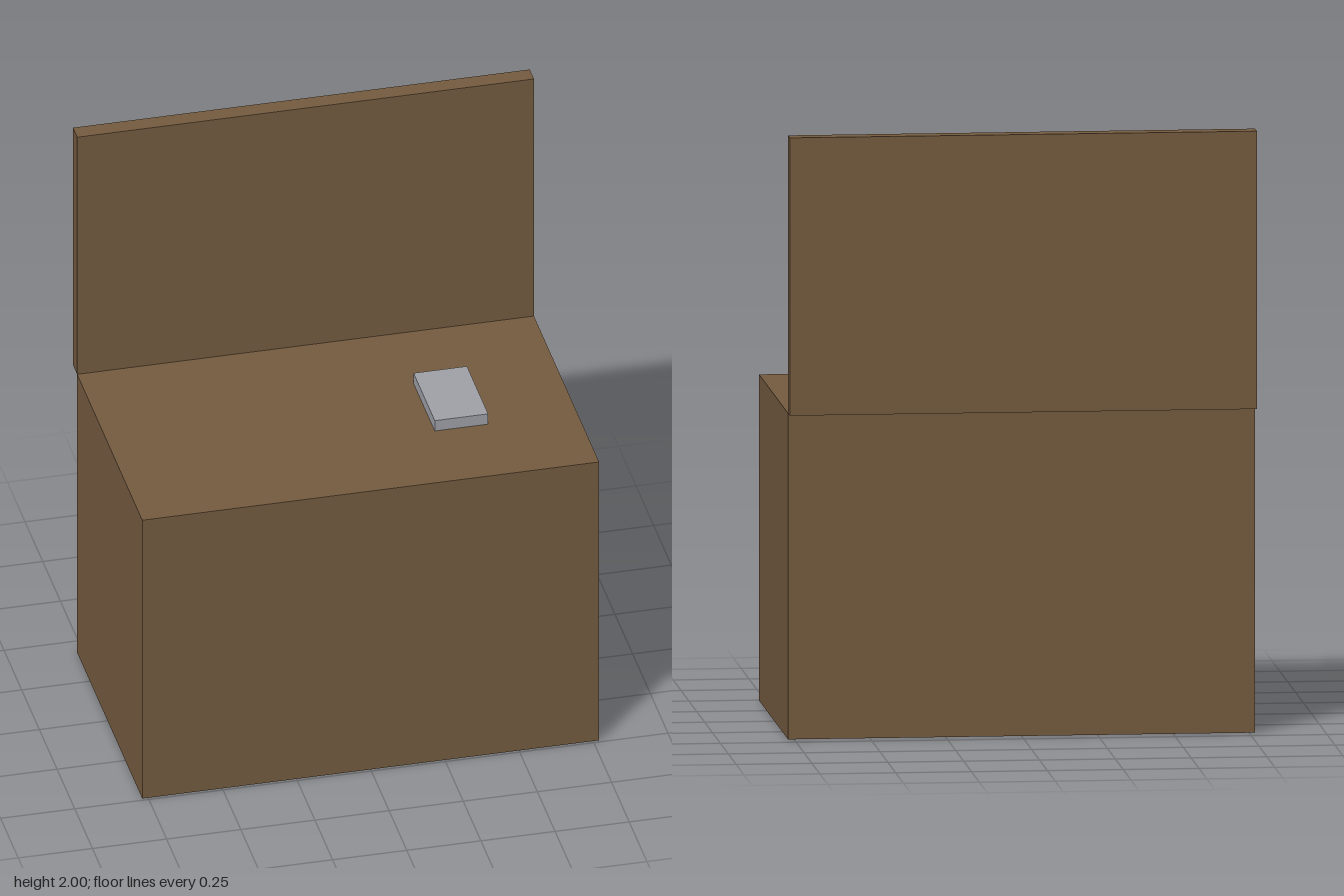
import * as THREE from 'three';

const wood = new THREE.MeshStandardMaterial({ color: 0x755c40 });
wood.name = 'brown wood';
const metal = new THREE.MeshStandardMaterial({ color: 0xa0a2a9 });
metal.name = 'grey metal';

// Box given by its minimum and maximum corners
function box(name, material, [x0, y0, z0], [x1, y1, z1]) {
  const mesh = new THREE.Mesh(new THREE.BoxGeometry(x1 - x0, y1 - y0, z1 - z0), material);
  mesh.position.set((x0 + x1) / 2, (y0 + y1) / 2, (z0 + z1) / 2);
  mesh.name = name;
  return mesh;
}

export function createModel() {
  const model = new THREE.Group();
  model.name = 'chest';
  model.add(
    // Solid chest body
    box('body', wood, [-0.77, 0, -0.43], [0.77, 1.08, 0.49]),
    // Lid standing open along the back edge
    box('lid', wood, [-0.77, 1.08, -0.49], [0.77, 2, -0.43]),
    // Small slab lying on the top
    box('slab', metal, [0.29, 1.08, -0.12], [0.47, 1.12, 0.18]),
  );
  return model;
}
